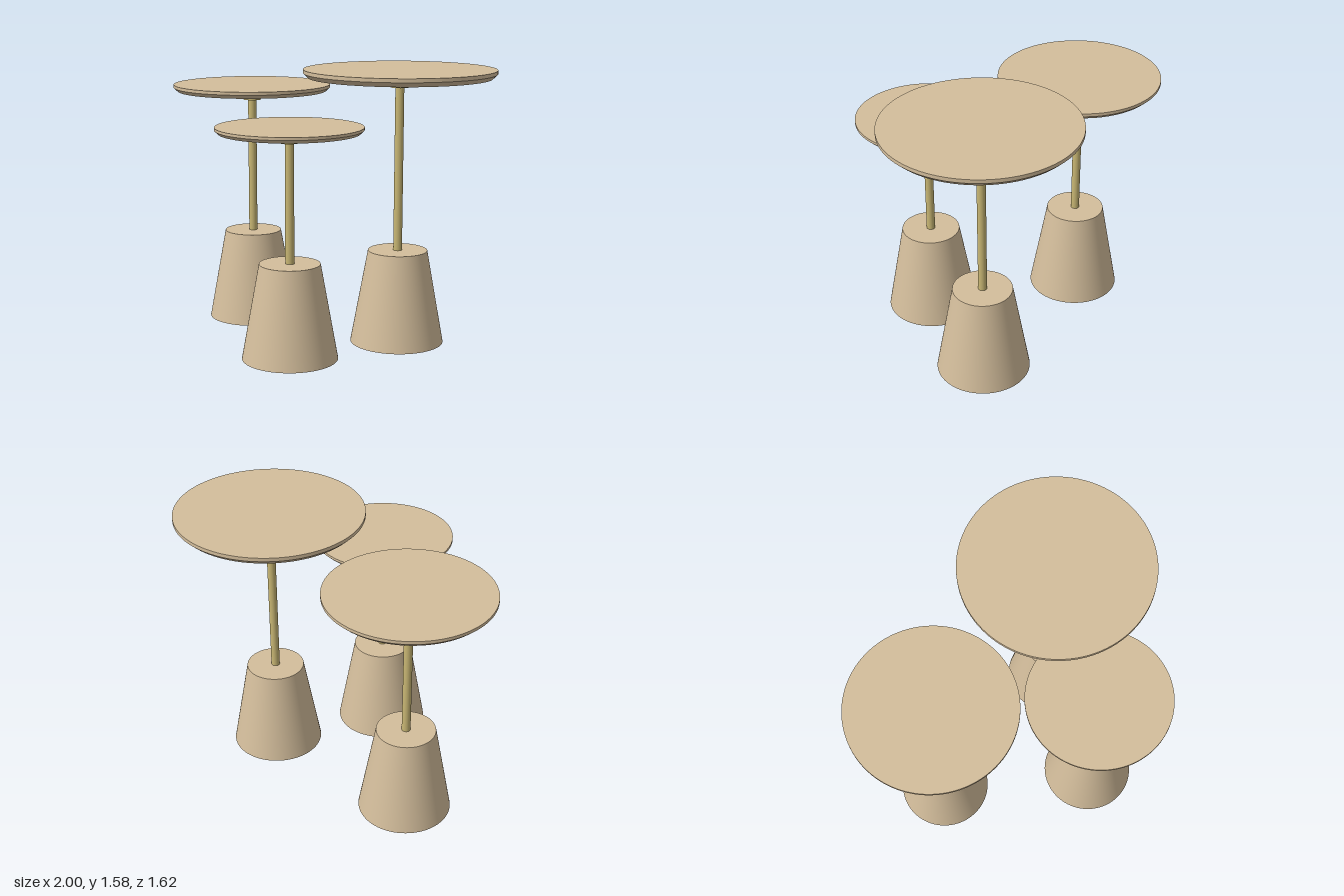
import * as THREE from 'three';

const beige = new THREE.MeshStandardMaterial({ color: 0xd4be9c });
beige.name = 'beige lacquer';
const brass = new THREE.MeshStandardMaterial({ color: 0xc9b774 });
brass.name = 'brass';

const BASE_HEIGHT = 0.54;

// Upright cylinder or cone spanning y0 to y1
function turned(name, rTop, rBottom, y0, y1, material, open = false) {
  const geometry = new THREE.CylinderGeometry(rTop, rBottom, y1 - y0, 80, 1, open);
  const mesh = new THREE.Mesh(geometry, material);
  mesh.name = name;
  mesh.position.y = (y0 + y1) / 2;
  return mesh;
}

// Disc with a short straight rim and a chamfered underside
function tableTop(radius, bottom, top) {
  const inset = radius * 0.05;
  const rim = top - (top - bottom) * 0.45;
  const p = (x, y) => new THREE.Vector2(x, y);
  // doubled points keep the edges crisp
  const profile = [
    p(0, bottom), p(radius - inset, bottom), p(radius - inset, bottom),
    p(radius, rim), p(radius, rim),
    p(radius, top), p(radius, top), p(0, top),
  ];
  const group = new THREE.Group();
  group.name = 'tableTop';
  for (let i = 0; i < profile.length - 1; i++) {
    if (profile[i].equals(profile[i + 1])) continue;
    const ring = new THREE.Mesh(new THREE.LatheGeometry([profile[i], profile[i + 1]], 96), beige);
    ring.name = ['underside', '', 'chamfer', '', 'rim', '', 'topFace'][i];
    group.add(ring);
  }
  return group;
}

function sideTable({ name, x, z, radius, bottom, top }) {
  const table = new THREE.Group();
  table.name = name;
  table.position.set(x, 0, z);
  const collarBottom = bottom - 0.055;
  table.add(
    turned('base', 0.17, 0.268, 0, BASE_HEIGHT, beige),
    turned('pole', 0.025, 0.025, BASE_HEIGHT, collarBottom + 0.01, brass, true),
    turned('collar', 0.052, 0.052, collarBottom, bottom, brass),
    tableTop(radius, bottom, top),
  );
  return table;
}

export function createModel() {
  const model = new THREE.Group();
  model.name = 'sideTableSet';
  const tables = [
    { name: 'mediumTable', x: -0.53, z: -0.028, radius: 0.471, bottom: 1.398, top: 1.438 },
    { name: 'tallTable', x: 0.455, z: -0.265, radius: 0.543, bottom: 1.53, top: 1.577 },
    { name: 'smallTable', x: 0.265, z: 0.403, radius: 0.405, bottom: 1.264, top: 1.298 },
  ];
  for (const t of tables) model.add(sideTable(t));
  return model;
}
